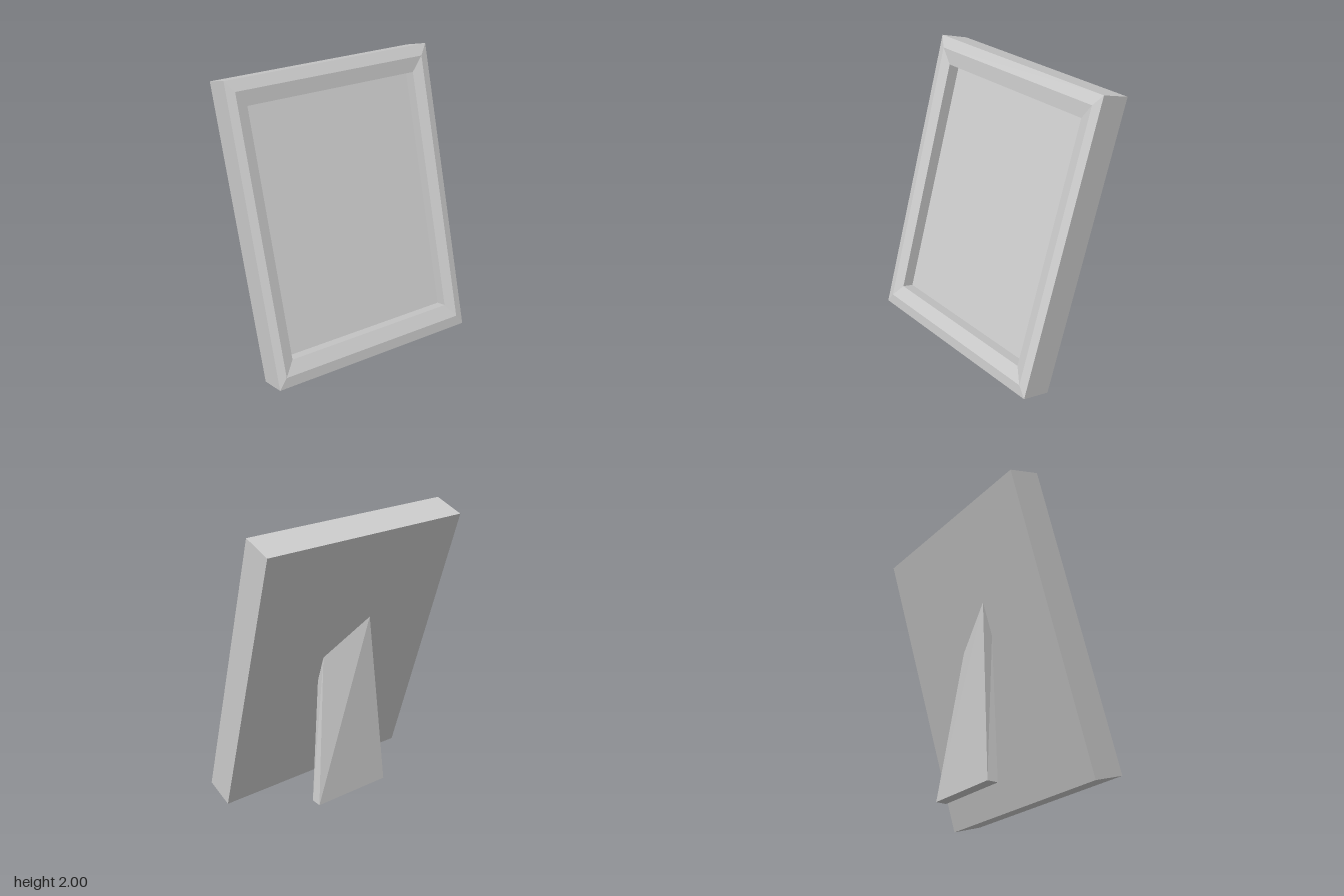
import * as THREE from 'three';

const material = new THREE.MeshStandardMaterial({ color: 0xcccccc, flatShading: true });

// Skins a stack of four-cornered rings and caps the first and last ring
function loft(name, rings, capStart = true, capEnd = true) {
  const pos = [];
  const quad = (a, b, c, d) => pos.push(...a, ...b, ...c, ...a, ...c, ...d);
  for (let i = 0; i < rings.length - 1; i++) {
    for (let j = 0; j < 4; j++) {
      const k = (j + 1) % 4;
      quad(rings[i][j], rings[i][k], rings[i + 1][k], rings[i + 1][j]);
    }
  }
  if (capStart) quad(...[...rings[0]].reverse());
  if (capEnd) quad(...rings[rings.length - 1]);
  const geometry = new THREE.BufferGeometry();
  geometry.setAttribute('position', new THREE.Float32BufferAttribute(pos, 3));
  geometry.computeVertexNormals();
  const mesh = new THREE.Mesh(geometry, material);
  mesh.name = name;
  return mesh;
}

export function createModel() {
  const model = new THREE.Group();
  model.name = 'pictureFrame';

  // Leaning body, pivoting on its lower back edge
  const W = 0.745, H = 2.023;
  const body = new THREE.Group();
  body.name = 'leaningBody';
  body.position.z = 0.19;
  body.rotation.x = THREE.MathUtils.degToRad(-17);
  model.add(body);

  const ring = (insetX, insetY, z) => [
    [-W + insetX, insetY, z], [W - insetX, insetY, z],
    [W - insetX, H - insetY, z], [-W + insetX, H - insetY, z],
  ];

  // Moulding: flat back, outer side, raised ridge, sloped lip, inner wall
  const innerWall = ring(0.127, 0.175, 0.132);
  body.add(loft('moulding', [
    ring(0, 0, 0),
    ring(0, 0, 0.223),
    ring(0.055, 0.076, 0.239),
    ring(0.127, 0.175, 0.217),
    innerWall,
  ], true, false));

  // Recessed picture panel
  body.add(loft('picturePanel', [innerWall], false, true));

  // Tapered easel leg, slightly twisted where it meets the sloping back
  model.add(loft('easelLeg', [
    [[-0.285, 0.037, -0.175], [0.285, 0.037, -0.175], [0.285, 0.037, -0.25], [-0.285, 0.037, -0.25]],
    [[-0.17, 1.07, -0.137], [0.165, 0.88, -0.079], [0.162, 1.07, -0.137], [-0.165, 1.3, -0.207]],
  ]));

  return model;
}
